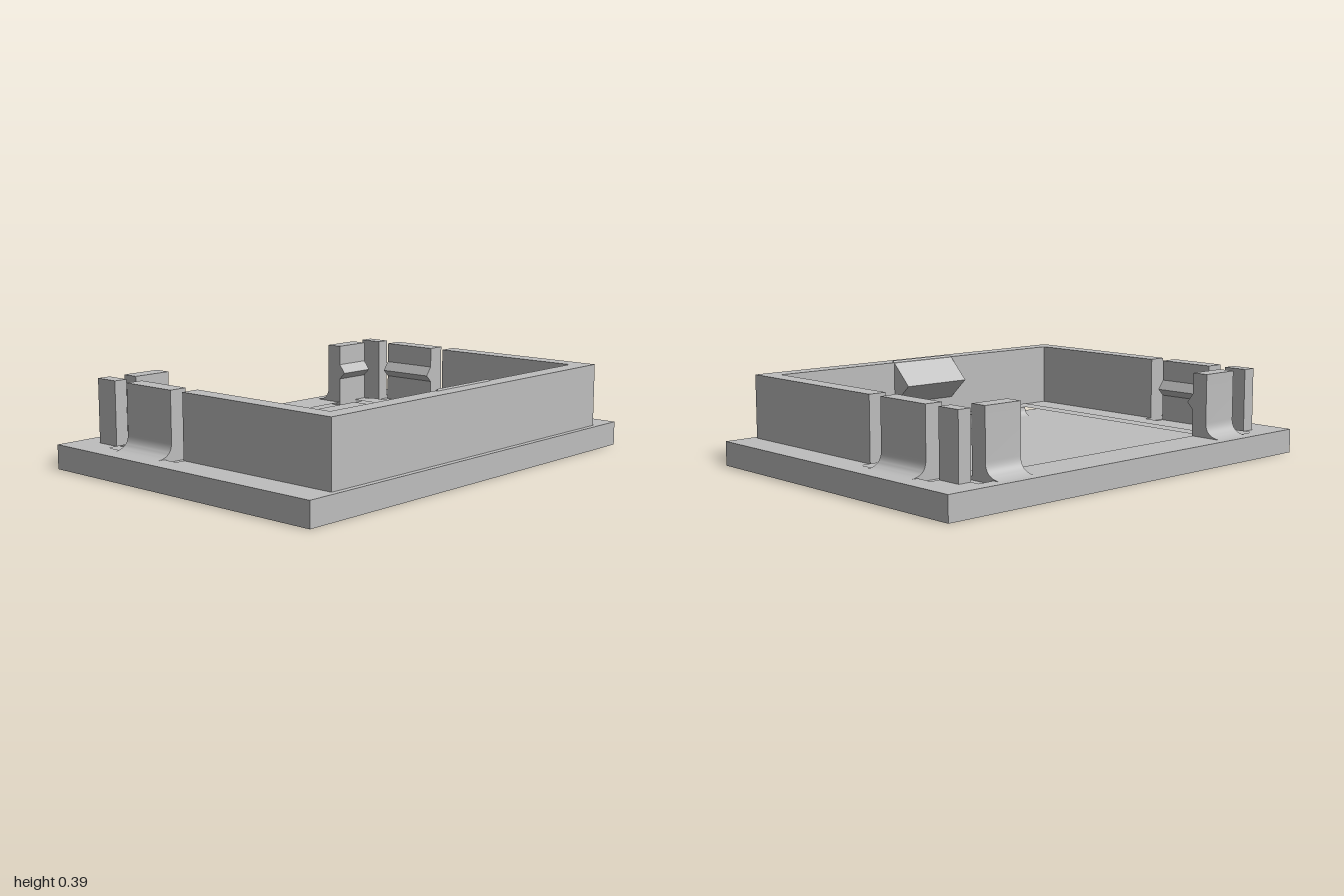
import * as THREE from 'three';
import { toCreasedNormals } from 'three/addons/utils/BufferGeometryUtils.js';

const BASE_TOP = 0.105, WALL_TOP = 0.38, FLOOR = 0.05, SLOT_FLOOR = 0.09;

export function createModel() {
  const model = new THREE.Group();
  model.name = 'snapCover';
  const grey = new THREE.MeshStandardMaterial({ color: 0xbebebe });
  grey.name = 'light grey plastic';

  const add = (name, geometry) => {
    const mesh = new THREE.Mesh(geometry, grey);
    mesh.name = name;
    model.add(mesh);
    return mesh;
  };

  // Plan outlines are given as [x, z]
  const toPoints = (pts) => pts.map(([x, z]) => new THREE.Vector2(x, -z));
  const rect = (x0, x1, z0, z1) => [[x0, z0], [x1, z0], [x1, z1], [x0, z1]];
  const slab = (name, outline, holes, y0, y1) => {
    const shape = new THREE.Shape(toPoints(outline));
    shape.holes = holes.map((h) => new THREE.Path(toPoints(h)));
    const g = new THREE.ExtrudeGeometry(shape, { depth: y1 - y0, bevelEnabled: false });
    return add(name, g.rotateX(-Math.PI / 2).translate(0, y0, 0));
  };

  // Side profiles (u outward, y up) extruded symmetrically to a width
  const profile = (name, shape, width) => {
    const g = new THREE.ExtrudeGeometry(shape, { depth: width, bevelEnabled: false, curveSegments: 12 });
    return add(name, toCreasedNormals(g.translate(0, 0, -width / 2), 0.5));
  };

  // Base plate with a sunken floor and shallow relief slots round the clips
  const plate = rect(-1, 1, -0.725, 0.725);
  const recess = rect(-0.65, 0.65, -0.54, 0.62);
  const slots = [];
  for (const s of [-1, 1]) {
    slots.push(rect(0.745 * s, 0.9 * s, -0.165, -0.095));
    slots.push([[0.745, -0.435], [0.9, -0.435], [0.9, -0.51], [0.8, -0.51],
      [0.8, -0.66], [0.725, -0.66], [0.725, -0.51], [0.745, -0.51]].map(([x, z]) => [x * s, z]));
  }
  slab('baseBottom', plate, [], 0, FLOOR);
  slab('baseLedge', plate, [recess], FLOOR, SLOT_FLOOR);
  slab('baseTop', plate, [recess, ...slots], SLOT_FLOOR, BASE_TOP);

  // Rounded joint between floor and front wall
  const joint = new THREE.Shape();
  joint.moveTo(0.62, FLOOR);
  joint.lineTo(0.62, FLOOR + 0.04);
  joint.quadraticCurveTo(0.62, FLOOR, 0.58, FLOOR);
  profile('floorFillet', joint, 1.3).rotation.y = -Math.PI / 2;

  // U-shaped wall: front and two sides
  slab('wall', [[-0.86, -0.095], [-0.86, 0.7], [0.86, 0.7], [0.86, -0.095],
    [0.78, -0.095], [0.78, 0.62], [-0.78, 0.62], [-0.78, -0.095]], [], BASE_TOP, WALL_TOP);

  // Wedge catch inside the front wall
  const wedge = new THREE.Shape([[0.635, 0.375], [0.63, 0.388], [0.52, 0.28], [0.62, 0.19], [0.635, 0.19]]
    .map((p) => new THREE.Vector2(...p)));
  profile('frontCatch', wedge, 0.34).rotation.y = -Math.PI / 2;

  // Snap clip: upright tab, hook on the inside, flared foot outside
  const clipShape = (inner, outer, foot) => {
    const s = new THREE.Shape();
    s.moveTo(inner, SLOT_FLOOR);
    s.lineTo(inner, 0.22);
    s.lineTo(inner - 0.03, 0.25);
    s.lineTo(inner, 0.29);
    s.lineTo(inner, WALL_TOP);
    s.lineTo(outer, WALL_TOP);
    s.lineTo(outer, 0.17);
    s.quadraticCurveTo(outer, BASE_TOP + 0.005, foot, BASE_TOP);
    s.lineTo(foot, SLOT_FLOOR);
    return s;
  };

  for (const s of [-1, 1]) {
    const side = s > 0 ? 'left' : 'right';
    const sideClip = profile(side + 'SideClip', clipShape(0.78, 0.86, 0.93), 0.27);
    sideClip.position.z = -0.3;
    sideClip.rotation.y = s > 0 ? 0 : Math.PI;

    const backClip = profile(side + 'BackClip', clipShape(0.54, 0.615, 0.69), 0.18);
    backClip.position.x = 0.635 * s;
    backClip.rotation.y = Math.PI / 2;

    // Corner post between the two clips
    const post = add(side + 'CornerPost', new THREE.BoxGeometry(0.06, WALL_TOP - BASE_TOP, 0.11));
    post.position.set(0.83 * s, (WALL_TOP + BASE_TOP) / 2, -0.565);
  }
  return model;
}
